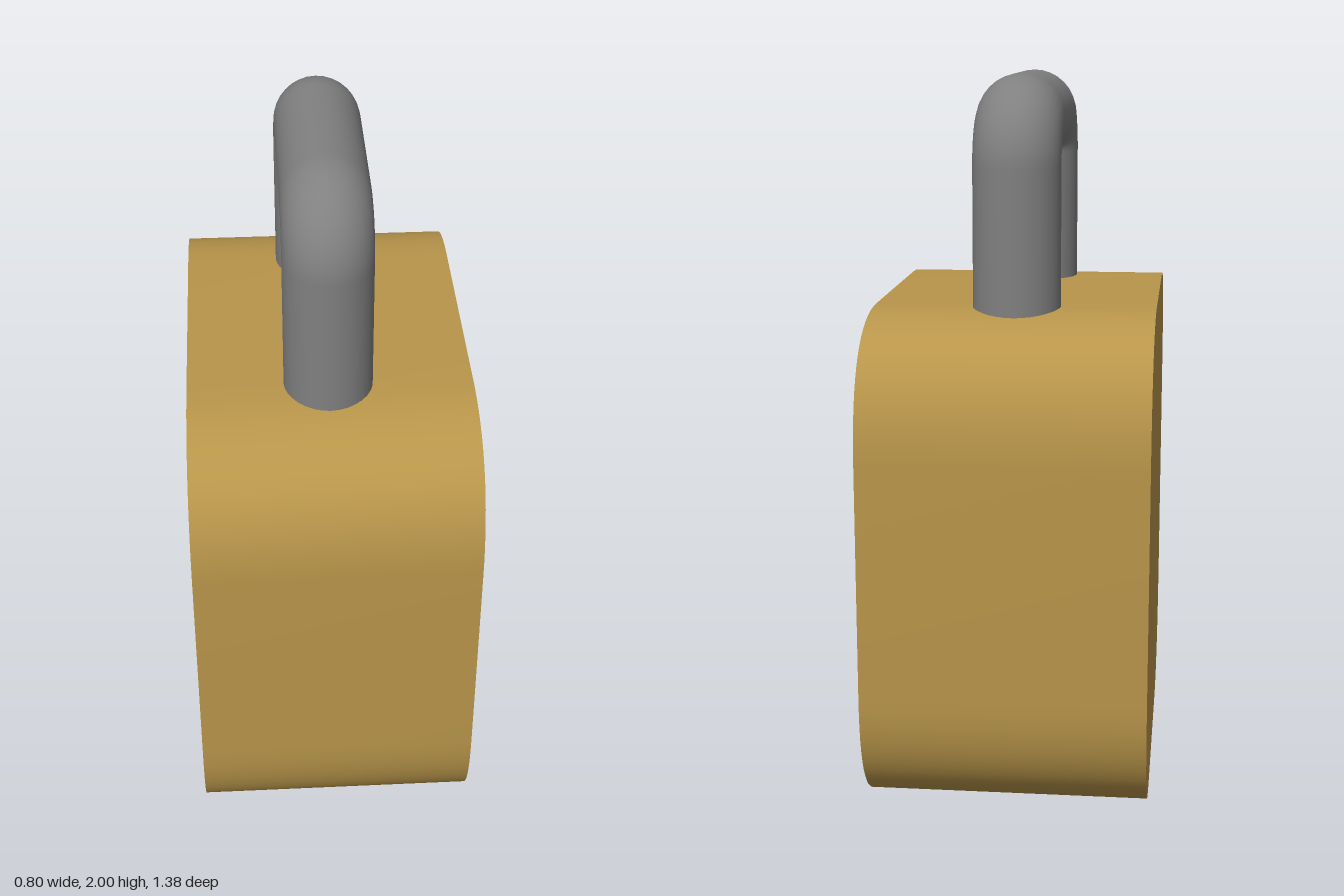
import * as THREE from 'three';
import { toCreasedNormals } from 'three/addons/utils/BufferGeometryUtils.js';

const mat = (color) => new THREE.MeshStandardMaterial({ color });

// Extrudes a profile drawn in (-z, y) along x, from x0 to x1
function plate(name, shape, x0, x1, material) {
  const geo = new THREE.ExtrudeGeometry(shape, { depth: x1 - x0, bevelEnabled: false, curveSegments: 16 });
  geo.rotateY(Math.PI / 2);
  geo.translate(x0, 0, 0);
  const mesh = new THREE.Mesh(toCreasedNormals(geo, 0.6), material);
  mesh.name = name;
  return mesh;
}

// Square with soft, drawn-out corners
function bodyShape(w, h, c) {
  const s = new THREE.Shape();
  s.moveTo(-w + c, 0);
  s.lineTo(w - c, 0);
  s.quadraticCurveTo(w, 0, w, c);
  s.lineTo(w, h - c);
  s.quadraticCurveTo(w, h, w - c, h);
  s.lineTo(-w + c, h);
  s.quadraticCurveTo(-w, h, -w, h - c);
  s.lineTo(-w, c);
  s.quadraticCurveTo(-w, 0, -w + c, 0);
  return s;
}

// Round head over a flared skirt with a bowed lower edge
function keyholeShape(cx, cy, r) {
  const neck = 0.38;
  const s = new THREE.Shape();
  s.moveTo(cx - 0.215, 0.33);
  s.quadraticCurveTo(cx, 0.25, cx + 0.215, 0.33);
  s.lineTo(cx + r * Math.sin(neck), cy - r * Math.cos(neck));
  s.absarc(cx, cy, r, -Math.PI / 2 + neck, Math.PI * 1.5 - neck, false);
  s.closePath();
  return s;
}

// Centre line of the shackle: two legs, two tight bends and a bar
function shacklePath(x, zFront, zBack, y0, y1, r) {
  const p = (y, z) => new THREE.Vector3(x, y, z);
  const k = r * 0.448;
  const path = new THREE.CurvePath();
  path.add(new THREE.LineCurve3(p(y0, zFront), p(y1 - r, zFront)));
  path.add(new THREE.CubicBezierCurve3(p(y1 - r, zFront), p(y1 - k, zFront), p(y1, zFront - k), p(y1, zFront - r)));
  path.add(new THREE.LineCurve3(p(y1, zFront - r), p(y1, zBack + r)));
  path.add(new THREE.CubicBezierCurve3(p(y1, zBack + r), p(y1, zBack + k), p(y1 - k, zBack), p(y1 - r, zBack)));
  path.add(new THREE.LineCurve3(p(y1 - r, zBack), p(y0, zBack)));
  return path;
}

export function createModel() {
  const group = new THREE.Group();
  group.name = 'padlock';

  group.add(plate('body', bodyShape(0.69, 1.38, 0.37), -0.4, 0.37, mat(0xb8954a)));
  group.add(plate('keyhole', keyholeShape(-0.01, 0.85, 0.21), 0.35, 0.395, mat(0x7a5040)));

  const path = shacklePath(-0.02, 0.305, -0.33, 1.34, 1.88, 0.12);
  const shackle = new THREE.Mesh(new THREE.TubeGeometry(path, 120, 0.12, 32), mat(0x808080));
  shackle.name = 'shackle';
  group.add(shackle);

  return group;
}
